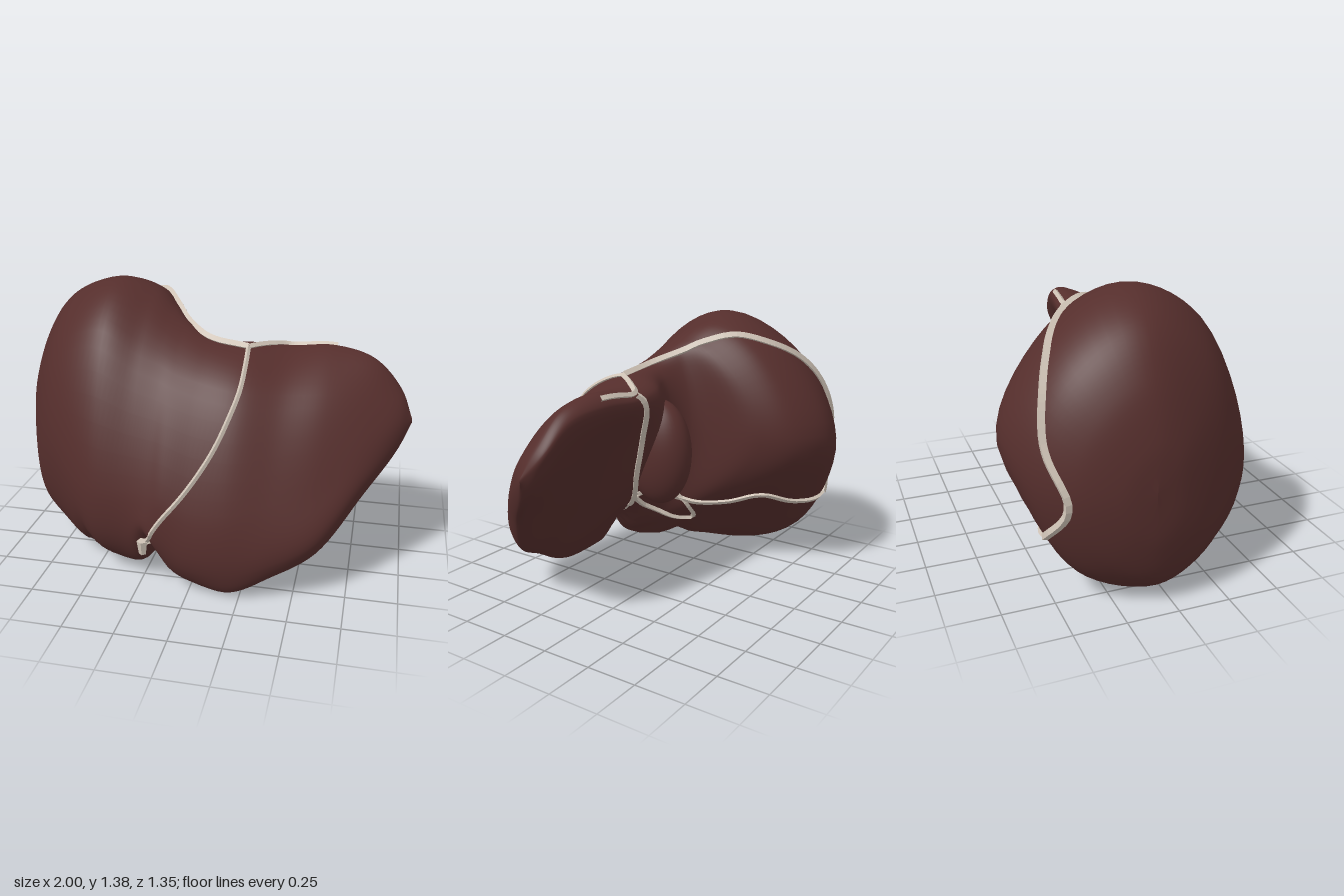
import * as THREE from 'three';

// Cross-sections along x: [x, then z,y pairs for top, upper front, front, lower front,
// bottom, underside, back, upper back]
const rightSections = [
  [-1, -.12, .62, -.12, .61, -.12, .6, -.12, .59, -.12, .58, -.12, .59, -.12, .6, -.12, .61],
  [-.98, -.1, .83, 0, .75, .03, .55, 0, .4, -.1, .32, -.22, .4, -.28, .58, -.22, .75],
  [-.9, -.1, 1.08, .12, .9, .22, .55, .17, .25, -.05, .1, -.33, .25, -.47, .58, -.35, .92],
  [-.75, -.08, 1.28, .24, 1.08, .4, .6, .3, .18, -.02, .005, -.4, .15, -.61, .62, -.45, 1.06],
  [-.5, -.05, 1.38, .3, 1.2, .57, .5, .52, .17, .33, .04, -.2, .17, -.675, .7, -.45, 1.16],
  [-.3, -.05, 1.33, .33, 1.1, .59, .5, .58, .2, .45, .05, -.05, .27, -.58, .72, -.38, 1.16],
  [-.19, 0, 1.25, .34, 1.06, .61, .5, .62, .2, .5, .1, 0, .33, -.4, .75, -.28, 1.08],
];
const leftSections = [
  [-.12, .05, 1.2, .36, 1.03, .625, .5, .63, .2, .54, .08, .1, .37, -.06, .75, -.03, 1.08],
  [0, .12, 1.14, .38, 1, .64, .45, .655, .15, .56, .04, .17, .42, 0, .75, .03, 1.06],
  [.2, .13, 1.11, .4, .97, .64, .45, .665, .15, .6, .02, .2, .4, -.01, .75, -.07, 1.05],
  [.4, .02, 1.09, .33, .95, .58, .5, .64, .22, .58, .12, .3, .42, .04, .8, -.09, 1.04],
  [.6, 0, 1.105, .28, .95, .5, .55, .57, .32, .5, .23, .3, .45, .06, .8, -.07, 1.05],
  [.8, .03, 1.06, .2, .92, .34, .7, .38, .55, .33, .48, .2, .6, .04, .83, -.03, 1.02],
  [.94, .05, .92, .12, .88, .19, .78, .2, .69, .17, .65, .1, .7, .03, .82, .01, .9],
  [1, .1, .79, .1, .785, .1, .78, .1, .775, .1, .77, .1, .775, .1, .78, .1, .785],
];

const vec = (a) => new THREE.Vector3(...a);

// Raises the underside along a groove running from (x0, z0) to (x1, z1)
function groove(p, x0, z0, x1, z1, depth, width) {
  const centre = x0 + (x1 - x0) * (p.z - z0) / (z1 - z0);
  const low = 1 - THREE.MathUtils.smoothstep(p.y, .1, .45);
  const near = THREE.MathUtils.smoothstep(p.z, z0 - .1, z0 + .15);
  p.y += depth * low * near * Math.exp(-(((p.x - centre) / width) ** 2));
}

// Lofts a smooth skin through the sections
function bodyGeometry() {
  const sections = [...rightSections, ...leftSections];
  const rails = Array.from({ length: 8 }, (_, k) => new THREE.CatmullRomCurve3(
    sections.map((s) => new THREE.Vector3(s[0], s[2 + 2 * k], s[1 + 2 * k]))));
  const rows = 112, cols = 56, positions = [], index = [];
  for (let i = 0; i <= rows; i++) {
    const loop = new THREE.CatmullRomCurve3(rails.map((r) => r.getPoint(i / rows)), true);
    for (let j = 0; j < cols; j++) {
      const p = loop.getPoint(j / cols);
      groove(p, .1, .15, -.22, .62, .13, .06);
      groove(p, -.32, .05, -.57, .5, .05, .06);
      positions.push(p.x, Math.max(p.y, 0), p.z);
      if (i === rows) continue;
      const a = i * cols + j, b = i * cols + (j + 1) % cols;
      index.push(a, b, a + cols, b, b + cols, a + cols);
    }
  }
  const g = new THREE.BufferGeometry();
  g.setAttribute('position', new THREE.Float32BufferAttribute(positions, 3));
  g.setIndex(index);
  g.computeVertexNormals();
  return g;
}

// Slides a point along the nearest surface normal until it lies on the skin
function snap(p, geometry) {
  const pos = geometry.attributes.position, nor = geometry.attributes.normal;
  const v = new THREE.Vector3();
  let best = 0, bestD = Infinity;
  for (let i = 0; i < pos.count; i++) {
    const d = v.fromBufferAttribute(pos, i).distanceToSquared(p);
    if (d < bestD) { bestD = d; best = i; }
  }
  const n = new THREE.Vector3().fromBufferAttribute(nor, best);
  v.fromBufferAttribute(pos, best).sub(p);
  return p.clone().addScaledVector(n, v.dot(n) + .004);
}

export function createModel() {
  const group = new THREE.Group();
  const flesh = new THREE.MeshStandardMaterial({ color: 0x552e2c });
  const fibre = new THREE.MeshStandardMaterial({ color: 0xcfc3b6, flatShading: true });
  const add = (name, geometry, material) => {
    const mesh = new THREE.Mesh(geometry, material);
    mesh.name = name;
    group.add(mesh);
    return mesh;
  };

  const skin = bodyGeometry();
  add('lobes', skin, flesh);

  // Small rounded lobe on the back
  const caudate = add('caudateLobe', new THREE.SphereGeometry(1, 40, 28), flesh);
  caudate.scale.set(.13, .28, .185);
  caudate.position.set(.05, .7, .03);

  // Ligaments: thin faceted bands that follow the skin
  const band = (name, points, radius, closed = false) => {
    const path = new THREE.CatmullRomCurve3(points.map(vec), closed);
    const n = points.length * 3;
    const pts = path.getSpacedPoints(n).map((p) => snap(p, skin));
    if (closed) pts.pop();
    add(name, new THREE.TubeGeometry(new THREE.CatmullRomCurve3(pts, closed), n * 2, radius, 4, closed), fibre);
  };
  band('falciformLigament', [[.2, 1.11, .14], [.21, 1.05, .3], [.2, .96, .4], [.12, .75, .54],
    [0, .55, .61], [-.15, .35, .63], [-.22, .22, .62]], .012);
  band('coronaryLigament', [[.2, 1.11, .14], [0, 1.14, .12], [-.15, 1.2, 0], [-.28, 1.28, -.2],
    [-.4, 1.24, -.35], [-.6, 1.12, -.47], [-.72, 1, -.54], [-.82, .8, -.57], [-.9, .55, -.48],
    [-.76, .36, -.54]], .02);
  band('leftTriangularLigament', [[.2, 1.11, .14], [.3, 1.1, .02], [.38, 1.08, -.06],
    [.5, 1.09, -.06], [.62, 1.1, -.05]], .016);
  band('venousLigament', [[.38, 1.08, -.08], [.33, 1, -.09], [.28, .82, -.04], [.22, .6, .04],
    [.1, .43, .15]], .018);
  band('lowerLigament', [[.1, .43, .15], [-.08, .38, .02], [-.23, .33, -.2], [-.3, .38, -.4],
    [-.5, .33, -.5], [-.76, .36, -.54]], .015);
  band('roundLigament', [[.1, .43, .15], [0, .35, .32], [-.14, .25, .5], [-.22, .21, .61]], .016);
  band('portalRing', [[.08, .42, .13], [-.06, .4, .02], [-.2, .33, 0], [-.3, .26, .05],
    [-.2, .27, .12], [-.03, .36, .2]], .015, true);

  // Loose end where the falciform band meets the lower edge
  const knot = add('ligamentEnd', new THREE.CylinderGeometry(.028, .018, .07, 5), fibre);
  knot.position.set(-.22, .225, .615);
  return group;
}
